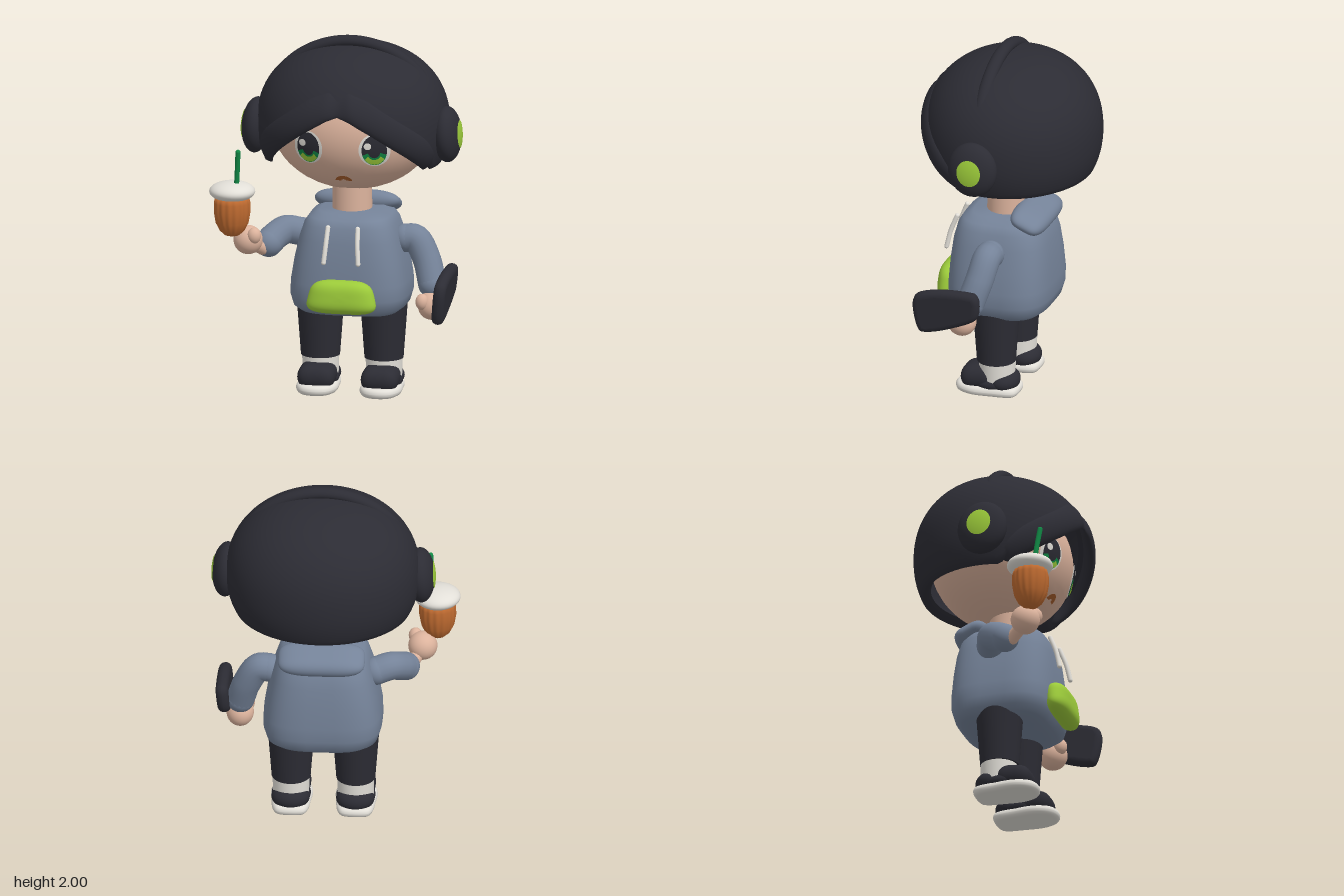
import * as THREE from 'three';
import { mergeVertices } from 'three/addons/utils/BufferGeometryUtils.js';

const CX = 0.058; // body centre line
const mat = (name, color) => Object.assign(new THREE.MeshStandardMaterial({ color, side: THREE.DoubleSide }), { name });
const V = (p) => new THREE.Vector3(...p);

export function createModel() {
  const M = {
    dark: mat('charcoal', 0x2c2c34), skin: mat('skin', 0xdcb39d), hoodie: mat('slate blue', 0x758399),
    cream: mat('cream', 0xe2dfd8), lime: mat('lime', 0x9ccb3a), green: mat('green', 0x118a46),
    orange: mat('amber', 0xbe6a30), mouth: mat('brown', 0xa85e2c),
  };
  const model = new THREE.Group();
  const add = (name, geo, m, pos = [0, 0, 0], rot = [0, 0, 0]) => {
    const mesh = new THREE.Mesh(geo, m);
    mesh.name = name;
    mesh.position.set(...pos);
    mesh.rotation.set(...rot);
    model.add(mesh);
    return mesh;
  };
  const ball = (name, m, pos, r, rot) =>
    add(name, new THREE.SphereGeometry(1, 36, 24).scale(...r), m, pos, rot);
  const tube = (name, m, pts, r) => {
    add(name, new THREE.TubeGeometry(new THREE.CatmullRomCurve3(pts.map(V)), 28, r, 18), m);
    for (const p of [pts[0], pts[pts.length - 1]]) ball(name + 'End', m, p, [r, r, r]);
  };

  // Skin of closed rings: point(i, j) gives a corner of ring i
  const loft = (rows, cols, point) => {
    const pos = [], idx = [];
    for (let i = 0; i < rows; i++) for (let j = 0; j < cols; j++) {
      pos.push(...point(i, j));
      const a = i * cols + j, c = i * cols + (j + 1) % cols;
      if (i < rows - 1) idx.push(a, a + cols, c, a + cols, c + cols, c);
    }
    const g = new THREE.BufferGeometry();
    g.setAttribute('position', new THREE.Float32BufferAttribute(pos, 3));
    g.setIndex(idx);
    g.computeVertexNormals();
    return g;
  };

  // Soft plate from a closed smooth outline
  const plate = (pts, depth, bevel) => {
    const curve = new THREE.CatmullRomCurve3(pts.map(([x, y]) => V([x, y, 0])), true, 'catmullrom', 0.5);
    const shape = new THREE.Shape(curve.getPoints(48).slice(0, -1).map((p) => new THREE.Vector2(p.x, p.y)));
    let g = new THREE.ExtrudeGeometry(shape, {
      depth, bevelEnabled: true, bevelThickness: bevel, bevelSize: bevel, bevelOffset: -bevel, bevelSegments: 5,
    }).translate(0, 0, -depth / 2);
    g.deleteAttribute('uv');
    g.deleteAttribute('normal');
    g = mergeVertices(g, 1e-4);
    g.computeVertexNormals();
    return g;
  };
  const sq = (v, e = 0.6) => Math.sign(v) * Math.abs(v) ** e;
  // Cushion facing +z, its sides leaning in by taper towards the top
  const cushion = (w, h, d, taper) => loft(25, 64, (i, j) => {
    const b = (i / 24) * Math.PI, a = (j / 64) * Math.PI * 2, r = Math.sin(b) ** 0.6;
    const y = r * sq(Math.sin(a), 0.55);
    return [w * r * sq(Math.cos(a), 0.55) * (1 - taper * (y + 1) / 2), h * y, d * Math.cos(b)];
  });
  const lerpTable = (t, x, k) => {
    let i = 0;
    while (i < t.length - 2 && x > t[i + 1][0]) i++;
    const f = THREE.MathUtils.clamp((x - t[i][0]) / (t[i + 1][0] - t[i][0]), 0, 1);
    return t[i][k] + (t[i + 1][k] - t[i][k]) * f;
  };

  // Head and neck
  const H = { y: 1.49, z: -0.01, a: 0.455, b: 0.36, c: 0.385 };
  ball('head', M.skin, [CX, H.y, H.z], [H.a, H.b, H.c]);
  add('neck', new THREE.CylinderGeometry(0.108, 0.11, 0.24, 32), M.skin, [CX, 1.08, 0.035]);

  // Thin facial patch, an elliptical ring wrapped on the face
  const facePatch = (name, m, x, y, rx, ry, lift, inner = 0, start = 0, len = Math.PI * 2) => {
    const g = new THREE.RingGeometry(inner, 1, 40, 6, start, len).scale(rx, ry, 1);
    const p = g.attributes.position;
    for (let i = 0; i < p.count; i++) {
      const px = p.getX(i) + x, py = p.getY(i) + y;
      const k = 1 - (px / H.a) ** 2 - ((py - H.y) / H.b) ** 2;
      p.setXYZ(i, px + CX, py, H.z + H.c * Math.sqrt(Math.max(k, 0)) + lift);
    }
    g.computeVertexNormals();
    add(name, g, m);
  };
  for (const s of [-1, 1]) {
    const x = s * 0.184;
    facePatch('eyeWhite', M.cream, x, 1.428, 0.083, 0.095, 0.004);
    facePatch('iris', M.dark, x, 1.428, 0.066, 0.087, 0.007);
    facePatch('irisGlow', M.green, x, 1.428, 0.066, 0.087, 0.0095, 0.5, 3.45, 2.53);
    facePatch('irisGlowInner', M.lime, x, 1.428, 0.064, 0.084, 0.012, 0.64, 3.8, 1.83);
    facePatch('eyeHighlight', M.cream, x - 0.033, 1.455, 0.02, 0.02, 0.012);
  }
  facePatch('mouth', M.mouth, 0, 1.232, 0.046, 0.034, 0.006, 0.3, 0, Math.PI);

  // Hair cap: a full dome whose lower edge rises over the face; [degrees, fringe low, fringe high]
  const edges = [[0, 1.635, 1.745], [7, 1.61, 1.77], [20, 1.54, 1.73], [36, 1.445, 1.63], [51, 1.36, 1.54], [66, 1.28, 1.46], [76, 1.28, 1.42]];
  const hairPoint = (t, y, k) => {
    const s = k * Math.max(0, 1 - Math.abs((y - 1.5) / 0.45) ** 2.2) ** (1 / 2.2);
    return [CX + 0.53 * s * Math.sin(t), y, 0.488 * s * Math.cos(t)];
  };
  const COLS = 96, ROWS = 30;
  add('hairCap', loft(ROWS + 3, COLS, (i, j) => {
    const t = (j / COLS) * Math.PI * 2;
    const deg = Math.abs(Math.atan2(Math.sin(t), Math.cos(t))) * 180 / Math.PI;
    const mid = (lerpTable(edges, deg, 1) + lerpTable(edges, deg, 2)) / 2;
    const low = THREE.MathUtils.lerp(mid, 1.29, THREE.MathUtils.smoothstep(deg, 64, 74));
    const y = 1.5 + 0.45 * Math.cos(Math.min(i / ROWS, 1) * Math.acos((low - 1.5) / 0.45));
    if (i <= ROWS) return hairPoint(t, y, 1);
    return i === ROWS + 1 ? hairPoint(t, low - 0.01, 0.97) : hairPoint(t, low + 0.03, 0.86);
  }), M.dark);

  // Swept fringe with a centre parting
  add('fringe', loft(81, 24, (i, j) => {
    const deg = -76 + (152 * i) / 80, a = (j / 24) * Math.PI * 2, d = Math.abs(deg);
    const lo = lerpTable(edges, d, 1), up = lerpTable(edges, d, 2);
    const end = Math.sqrt(Math.max(0, 1 - (d / 76) ** 10));
    const thick = 0.065 * end * (0.45 + 0.55 * THREE.MathUtils.smoothstep(d, 0, 9));
    const y = (lo + up) / 2 + ((up - lo) / 2) * end * Math.sin(a);
    return hairPoint(deg * Math.PI / 180, y, 0.975 + thick * Math.cos(a) - 0.03 * THREE.MathUtils.smoothstep(d, 50, 76));
  }), M.dark);

  // Headphones, the band sinking into the hair at the sides
  add('headband', new THREE.TorusGeometry(1, 0.068, 16, 64, Math.PI).scale(0.486, 0.467, 0.55), M.dark, [CX, 1.5, 0.05]);
  for (const s of [-1, 1]) {
    const at = [CX + s * 0.532, 1.468, 0.05], tilt = [0, 0, s * 0.06];
    ball('earCup', M.dark, at, [0.078, 0.155, 0.14], tilt);
    add('earCupDisc', new THREE.SphereGeometry(1, 32, 8, 0, Math.PI * 2, 0, 0.5)
      .rotateZ(-s * Math.PI / 2).scale(0.082, 0.158, 0.143), M.lime, at, tilt);
  }

  // Hoodie body: rounded-square rings [y, half width, half depth]
  const rings = [[0.455, 0.001, 0.001], [0.456, 0.2, 0.18], [0.47, 0.27, 0.235], [0.5, 0.308, 0.27], [0.56, 0.325, 0.287],
    [0.64, 0.323, 0.288], [0.76, 0.303, 0.28], [0.88, 0.276, 0.266], [0.96, 0.25, 0.245], [1.0, 0.222, 0.22], [1.025, 0.17, 0.17], [1.032, 0.001, 0.001]];
  add('hoodieBody', loft(rings.length, 64, (i, j) => {
    const a = (j / 64) * Math.PI * 2, [y, w, d] = rings[i];
    return [CX + w * sq(Math.cos(a)), y, 0.035 + d * sq(Math.sin(a))];
  }), M.hoodie);
  add('hood', cushion(0.238, 0.105, 0.058, 0), M.hoodie, [CX, 1.022, -0.135], [1.15, 0, 0]);
  add('frontPocket', cushion(0.208, 0.094, 0.066, 0.22), M.lime, [CX, 0.592, 0.335], [-0.1, 0, 0]);
  for (const s of [-1, 1])
    tube('drawstring', M.cream, [[CX + s * 0.083, 0.97, 0.295], [CX + s * 0.088, 0.88, 0.33], [CX + s * 0.096, 0.785, 0.352]], 0.013);

  // Arms and hands
  tube('rightSleeve', M.hoodie, [[-0.23, 0.87, 0.02], [-0.305, 0.885, 0.05], [-0.355, 0.86, 0.1], [-0.385, 0.83, 0.15]], 0.078);
  tube('leftSleeve', M.hoodie, [[0.355, 0.865, 0.03], [0.41, 0.865, 0.03], [0.475, 0.76, 0.05], [0.515, 0.63, 0.09]], 0.078);
  tube('rightWrist', M.skin, [[-0.41, 0.81, 0.2], [-0.46, 0.86, 0.28]], 0.036);
  ball('rightHand', M.skin, [-0.47, 0.88, 0.295], [0.08, 0.08, 0.08]);
  ball('rightThumb', M.skin, [-0.428, 0.915, 0.34], [0.038, 0.045, 0.038]);
  ball('leftHand', M.skin, [0.52, 0.52, 0.135], [0.075, 0.08, 0.08]);
  ball('leftThumb', M.skin, [0.478, 0.55, 0.19], [0.036, 0.045, 0.038]);

  // Flat pouch held in the left hand (outline in z and y)
  const bag = [[0.003, 0.68], [0.013, 0.6], [0.06, 0.555], [0.2, 0.495], [0.31, 0.465], [0.36, 0.48], [0.385, 0.58], [0.383, 0.66], [0.345, 0.705], [0.22, 0.735], [0.06, 0.74], [0.018, 0.725]];
  add('handBag', plate(bag.map(([z, y]) => [z - 0.19, y - 0.6]), 0.004, 0.032).rotateY(-Math.PI / 2),
    M.dark, [0.605, 0.6, 0.19], [0, 0, -0.1]);

  // Drink with ribbed cup, lid and straw
  const cup = new THREE.LatheGeometry([[0, 0.912], [0.04, 0.918], [0.068, 0.945], [0.09, 0.99], [0.1, 1.05], [0.099, 1.1], [0.092, 1.13], [0, 1.14]]
    .map(([r, y]) => new THREE.Vector2(r, y)), 112);
  const cp = cup.attributes.position;
  for (let i = 0; i < cp.count; i++) {
    const k = 1 + 0.02 * Math.cos(16 * Math.atan2(cp.getZ(i), cp.getX(i)));
    cp.setXYZ(i, cp.getX(i) * k, cp.getY(i), cp.getZ(i) * k);
  }
  cup.computeVertexNormals();
  add('cup', cup, M.orange, [-0.548, 0, 0.35]);
  ball('lid', M.cream, [-0.548, 1.163, 0.347], [0.126, 0.055, 0.126]);
  tube('straw', M.green, [[-0.522, 1.18, 0.362], [-0.514, 1.29, 0.375], [-0.507, 1.395, 0.392]], 0.014);

  // Legs, socks and shoes
  const sole = [[0, 0.262], [0.075, 0.235], [0.113, 0.15], [0.108, 0.04], [0.095, -0.06], [0.055, -0.1],
    [-0.055, -0.1], [-0.095, -0.06], [-0.108, 0.04], [-0.113, 0.15], [-0.075, 0.235]];
  for (const s of [-1, 1]) {
    const x = CX + s * 0.177;
    add('trouserLeg', new THREE.CylinderGeometry(0.132, 0.107, 0.34, 32), M.dark, [x, 0.36, 0.035]);
    add('sock', new THREE.CylinderGeometry(0.102, 0.098, 0.14, 32), M.cream, [x, 0.13, 0.03]);
    add('shoeToe', cushion(0.104, 0.1, 0.07, 0).rotateX(-Math.PI / 2), M.dark, [x, 0.094, 0.125], [0.1, 0, 0]);
    ball('shoeHeel', M.dark, [x, 0.08, -0.01], [0.105, 0.068, 0.088]);
    ball('shoeMiddle', M.dark, [x, 0.068, 0.05], [0.107, 0.055, 0.13]);
    add('shoeSole', plate(sole.map(([a, b]) => [a, -b]), 0.002, 0.026).rotateX(-Math.PI / 2), M.cream, [x, 0.028, 0]);
  }
  return model;
}
